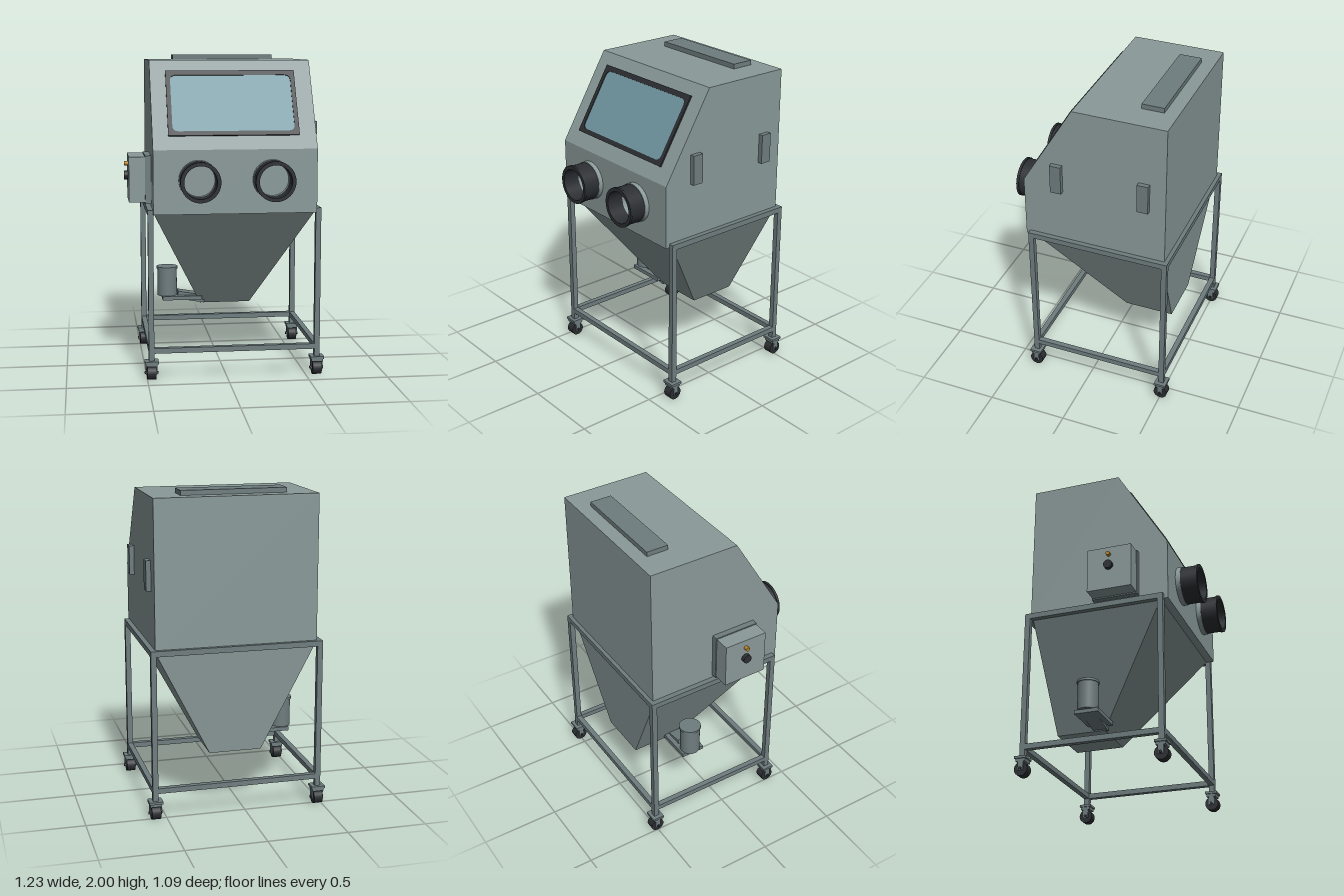
import * as THREE from 'three';

const paint = (c) => new THREE.MeshStandardMaterial({ color: c });

export function createModel() {
  const root = new THREE.Group();
  const body = paint(0x8a9a99), steel = paint(0x6f7d7f), dark = paint(0x2b2e32);
  const glass = paint(0x7097a0), brass = paint(0xb8862b);

  const add = (name, geo, mat, x = 0, y = 0, z = 0, parent = root) => {
    const m = new THREE.Mesh(geo, mat);
    m.name = name;
    m.position.set(x, y, z);
    parent.add(m);
    return m;
  };
  // Box given by its limits on each axis
  const span = (name, mat, x0, x1, y0, y1, z0, z1, parent = root) =>
    add(name, new THREE.BoxGeometry(x1 - x0, y1 - y0, z1 - z0), mat,
      (x0 + x1) / 2, (y0 + y1) / 2, (z0 + z1) / 2, parent);

  // Cabinet: side profile extruded across the width
  const profile = new THREE.Shape([[0.495, 1.04], [0.495, 1.97], [-0.087, 1.97], [-0.41, 1.435], [-0.41, 1.04]]
    .map(([a, b]) => new THREE.Vector2(a, b)));
  const cabinetGeo = new THREE.ExtrudeGeometry(profile, { depth: 1.012, bevelEnabled: false });
  cabinetGeo.rotateY(Math.PI / 2);
  add('cabinet', cabinetGeo, body, -0.457);
  span('topLight', steel, -0.28, 0.375, 1.97, 2.0, -0.41, -0.27);

  // Window on the sloping face
  const win = new THREE.Group();
  win.name = 'window';
  win.position.set(0.045, 1.435, 0.41);
  win.rotation.x = -Math.atan2(0.323, 0.535);
  root.add(win);
  const roundedRect = (Type, w, y0, y1, r) => {
    const s = new Type(), h = w / 2;
    s.moveTo(-h + r, y0).lineTo(h - r, y0).quadraticCurveTo(h, y0, h, y0 + r)
      .lineTo(h, y1 - r).quadraticCurveTo(h, y1, h - r, y1)
      .lineTo(-h + r, y1).quadraticCurveTo(-h, y1, -h, y1 - r)
      .lineTo(-h, y0 + r).quadraticCurveTo(-h, y0, -h + r, y0);
    return s;
  };
  const frameShape = roundedRect(THREE.Shape, 0.81, 0.093, 0.545, 0.004);
  frameShape.holes.push(roundedRect(THREE.Path, 0.755, 0.122, 0.512, 0.04));
  add('windowFrame', new THREE.ExtrudeGeometry(frameShape, { depth: 0.01, bevelEnabled: false }), dark, 0, 0, 0, win);
  add('windowPane', new THREE.BoxGeometry(0.78, 0.42, 0.004), glass, 0, 0.317, 0.003, win);

  // Glove ports: grey collar and dark open sleeve with raised lips
  const ring = (pts) => {
    const g = new THREE.LatheGeometry(pts.map(([r, y]) => new THREE.Vector2(r, y)), 40);
    return g.rotateX(Math.PI / 2);
  };
  const flat = (pts) => pts.flatMap((p, i) => (i && i < pts.length - 1 ? [p, p] : [p]));
  for (const x of [-0.18, 0.275]) {
    add('gloveCollar', ring(flat([[0.1, 0], [0.122, 0], [0.122, 0.032], [0.1, 0.032], [0.1, 0]])), body, x, 1.25, 0.408);
    add('gloveSleeve', ring(flat([[0.1, 0], [0.118, 0], [0.118, 0.094], [0.123, 0.094], [0.123, 0.11],
      [0.1, 0.11], [0.1, 0]])), dark, x, 1.25, 0.438);
  }

  // Door hinges on the left side
  for (const z of [0.19, -0.36]) span('doorHinge', steel, 0.55, 0.585, 1.405, 1.59, z - 0.035, z + 0.035);

  // Control box with knob and lamp
  span('controlBackPlate', steel, -0.495, -0.455, 1.085, 1.385, -0.07, 0.225);
  span('controlBox', body, -0.595, -0.49, 1.093, 1.378, -0.065, 0.22);
  const stud = (r, len) => new THREE.CylinderGeometry(r, r, len, 24).rotateZ(Math.PI / 2);
  add('controlKnob', stud(0.028, 0.03), dark, -0.605, 1.25, 0.077);
  add('controlLamp', stud(0.013, 0.03), brass, -0.605, 1.325, 0.077);

  // Hopper: box whose corners are drawn in to a small outlet
  const hopperGeo = new THREE.BoxGeometry(1, 1, 1);
  const p = hopperGeo.attributes.position;
  for (let i = 0; i < p.count; i++) {
    const left = p.getX(i) > 0, up = p.getY(i) > 0, front = p.getZ(i) > 0;
    p.setXYZ(i,
      up ? (left ? 0.55 : -0.452) : (left ? 0.21 : -0.12),
      up ? 1.04 : 0.37,
      up ? (front ? 0.36 : -0.482) : (front ? -0.12 : -0.435));
  }
  hopperGeo.computeVertexNormals();
  add('hopper', hopperGeo, body);

  // Abrasive pickup: shelf, sloping duct and canister beside the outlet
  span('canisterShelf', steel, -0.37, -0.11, 0.4, 0.425, -0.225, -0.07);
  const duct = add('canisterDuct', new THREE.BoxGeometry(0.18, 0.05, 0.09), steel, -0.18, 0.412, -0.15);
  duct.rotation.z = -0.17;
  add('canister', new THREE.CylinderGeometry(0.064, 0.064, 0.185, 32), steel, -0.335, 0.515, -0.15);
  add('canisterLid', new THREE.CylinderGeometry(0.07, 0.07, 0.015, 32), steel, -0.335, 0.608, -0.15);

  // Stand: four legs on casters
  const xs = [-0.473, 0.57], zs = [-0.503, 0.368], t = 0.017;
  for (const x of xs) for (const z of zs) {
    span('leg', steel, x - t, x + t, 0.12, 1.065, z - t, z + t);
    const caster = new THREE.Group();
    caster.name = 'caster';
    caster.position.set(x, 0, z);
    root.add(caster);
    span('casterPlate', steel, -0.043, 0.043, 0.105, 0.12, -0.038, 0.038, caster);
    span('casterHood', steel, -0.036, 0.036, 0.087, 0.106, -0.03, 0.03, caster);
    for (const s of [-1, 1])
      add('casterFork', new THREE.BoxGeometry(0.006, 0.065, 0.035), steel, s * 0.033, 0.066, 0, caster);
    add('casterWheel', stud(0.043, 0.056), dark, 0, 0.043, 0, caster);
    add('casterAxle', stud(0.009, 0.086), dark, 0, 0.043, 0, caster);
  }

  // Stand rails
  for (const x of xs) {
    span('lowerSideRail', steel, x - t, x + t, 0.167, 0.2, zs[0], zs[1]);
    span('upperSideRail', steel, x - t, x + t, 1.03, 1.065, zs[0], zs[1]);
  }
  for (const z of zs) span('lowerCrossRail', steel, xs[0], xs[1], 0.167, 0.2, z - t, z + t);
  span('upperBackRail', steel, xs[0], xs[1], 1.03, 1.065, zs[0] - t, zs[0] + t);
  return root;
}
